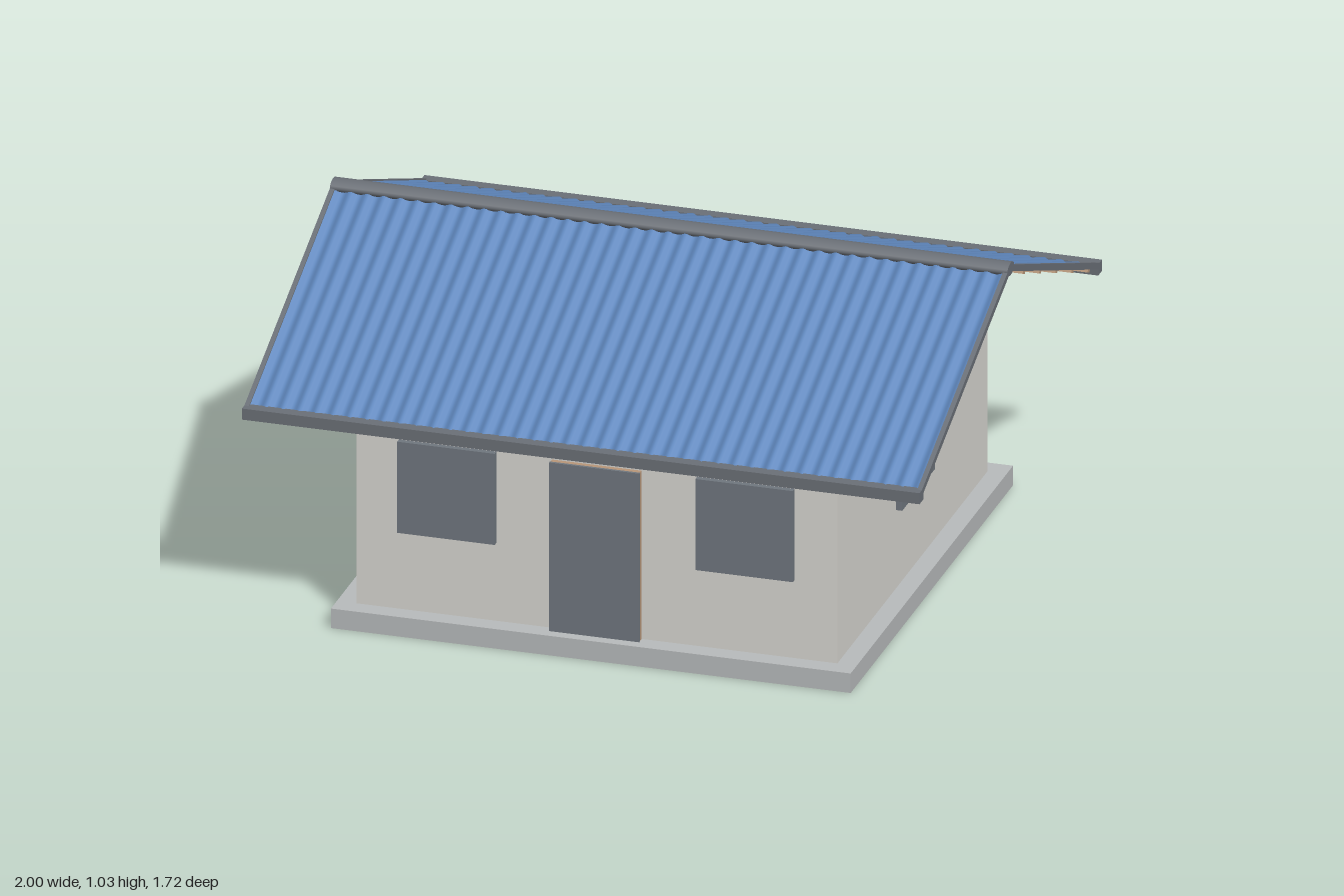
import * as THREE from 'three';

const mat = (name, color, side = THREE.FrontSide) => {
  const m = new THREE.MeshStandardMaterial({ color, side });
  m.name = name;
  return m;
};

export function createModel() {
  const house = new THREE.Group();
  house.name = 'house';

  const concrete = mat('concrete', 0xb8bbbc);
  const plaster = mat('plaster', 0xd8d6d1);
  const gablePaint = mat('gable paint', 0xe4e3df);
  const timber = mat('timber', 0xb8977a);
  const joinery = mat('dark grey joinery', 0x70777f);
  const trim = mat('roof trim grey', 0x6b7077);
  const roofBlue = mat('blue roofing', 0x5f87bd, THREE.DoubleSide);

  const add = (parent, name, geometry, material, x = 0, y = 0, z = 0) => {
    const mesh = new THREE.Mesh(geometry, material);
    mesh.name = name;
    mesh.position.set(x, y, z);
    parent.add(mesh);
    return mesh;
  };
  // box given by its limits on each axis
  const block = (parent, name, material, [x0, x1], [y0, y1], [z0, z1]) =>
    add(parent, name, new THREE.BoxGeometry(x1 - x0, y1 - y0, z1 - z0), material,
      (x0 + x1) / 2, (y0 + y1) / 2, (z0 + z1) / 2);
  // side profile (z, y), symmetric in z, extruded along x about its centre
  const profile = (points, depth) => {
    const shape = new THREE.Shape(points.map(([z, y]) => new THREE.Vector2(z, y)));
    return new THREE.ExtrudeGeometry(shape, { depth, bevelEnabled: false })
      .translate(0, 0, -depth / 2).rotateY(Math.PI / 2);
  };
  // square ring used for walls and wall plates
  const ring = (half, thick, height) => {
    const square = (P, h) => new P([[-h, -h], [h, -h], [h, h], [-h, h]].map(p => new THREE.Vector2(...p)));
    const shape = square(THREE.Shape, half);
    shape.holes.push(square(THREE.Path, half - thick));
    return new THREE.ExtrudeGeometry(shape, { depth: height, bevelEnabled: false }).rotateX(-Math.PI / 2);
  };

  // base and walls
  block(house, 'foundation slab', concrete, [-0.767, 0.767], [0, 0.06], [-0.767, 0.767]);
  add(house, 'walls', ring(0.71, 0.04, 0.6), plaster, 0, 0.06);
  add(house, 'wall plate', ring(0.711, 0.042, 0.0275), timber, 0, 0.66);

  // door and windows
  block(house, 'door leaf', timber, [-0.132, 0.132], [0.06, 0.577], [0.705, 0.727]);
  block(house, 'door face', joinery, [-0.133, 0.133], [0.06, 0.578], [0.727, 0.735]);
  for (const s of [-1, 1]) {
    const side = s < 0 ? 'right' : 'left';
    add(house, `${side} front window`, new THREE.BoxGeometry(0.288, 0.28, 0.022), joinery, s * 0.44, 0.44, 0.716);
    add(house, `${side} side window`, new THREE.BoxGeometry(0.022, 0.28, 0.31), joinery, s * 0.717, 0.44, 0);
    // gable infill behind the end truss
    add(house, `${side} gable`, profile([[-0.69, 0.688], [0.69, 0.688], [0, 0.97]], 0.02), gablePaint, s * 0.688);
  }

  // five timber trusses
  const rafters = profile([[0, 0.997], [-0.826, 0.66], [-0.813, 0.63], [0, 0.963],
    [0.813, 0.63], [0.826, 0.66]], 0.022);
  const tie = profile([[-0.7, 0.6875], [0.7, 0.6875], [0.66, 0.7245], [-0.66, 0.7245]], 0.02);
  for (let i = -2; i <= 2; i++) {
    const truss = new THREE.Group();
    truss.name = 'truss';
    truss.position.x = i * 0.355;
    add(truss, 'rafters', rafters, timber);
    add(truss, 'tie beam', tie, timber);
    block(truss, 'king post', timber, [-0.009, 0.009], [0.72, 0.97], [-0.008, 0.008]);
    for (const s of [-1, 1]) {
      const dz = 0.345, dy = 0.108;
      const strut = add(truss, 'strut', new THREE.BoxGeometry(0.018, 0.014, Math.hypot(dz, dy)), timber,
        0, 0.728 + dy / 2, s * dz / 2);
      strut.rotation.x = -s * Math.atan2(dy, dz);
    }
    house.add(truss);
  }

  // corrugated sheet lying along +z
  const sheet = new THREE.PlaneGeometry(1.976, 0.9, 320, 1).rotateX(-Math.PI / 2);
  const pos = sheet.attributes.position;
  for (let i = 0; i < pos.count; i++) {
    pos.setY(i, 0.005 * Math.cos(pos.getX(i) * Math.PI * 2 / 0.0494));
  }
  sheet.computeVertexNormals();

  // two roof slopes hinged at the ridge, each running down its local +z
  for (const turn of [0, Math.PI]) {
    const half = new THREE.Group();
    half.name = turn ? 'back roof' : 'front roof';
    half.rotation.y = turn;
    const slope = new THREE.Group();
    slope.name = 'slope';
    slope.position.y = 1.028;
    slope.rotation.x = Math.atan(0.41);
    half.add(slope);

    add(slope, 'corrugated sheet', sheet, roofBlue, 0, -0.008, 0.458);
    block(slope, 'underlay', trim, [-0.985, 0.985], [-0.018, -0.015], [0.008, 0.905]);
    for (const s of [-1, 1]) {
      add(slope, 'verge trim', new THREE.BoxGeometry(0.014, 0.019, 0.9), trim, s * 0.993, -0.0095, 0.458);
    }
    for (let i = 0; i < 6; i++) {
      add(slope, 'purlin', new THREE.BoxGeometry(1.96, 0.012, 0.02), timber, 0, -0.024, 0.05 + i * 0.165);
    }
    block(half, 'eaves gutter', trim, [-1, 1], [0.65, 0.684], [0.826, 0.862]);
    house.add(half);
  }

  // rounded ridge cap
  const cap = new THREE.CylinderGeometry(1, 1, 2, 16).rotateZ(Math.PI / 2).scale(1, 0.019, 0.032);
  add(house, 'ridge cap', cap, trim, 0, 1.015);

  return house;
}
